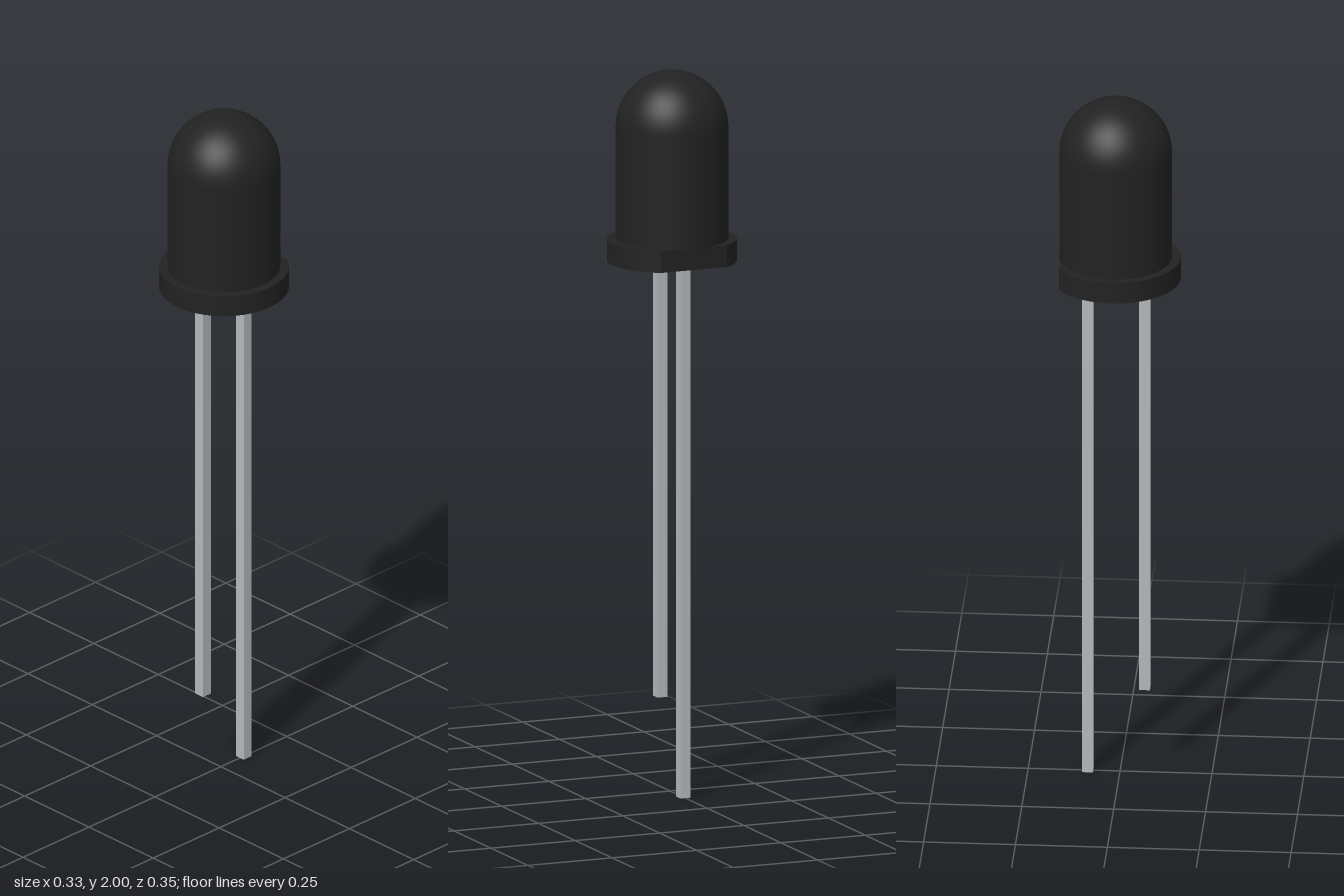
import * as THREE from 'three';
import { toCreasedNormals } from 'three/addons/utils/BufferGeometryUtils.js';

export function createModel() {
  const model = new THREE.Group();
  model.name = 'lightDiode';

  const lensBlack = new THREE.MeshStandardMaterial({ color: 0x222222 });
  lensBlack.name = 'lensBlack';
  const leadMetal = new THREE.MeshStandardMaterial({ color: 0xb4b8bc });
  leadMetal.name = 'leadMetal';

  const axisX = 0.012;      // centre line of the round body
  const lensRadius = 0.153;
  const rimRadius = 0.177;
  const rimBottom = 1.475;
  const rimTop = 1.536;
  const flatOffset = 0.147; // distance of the flat side from the centre line

  function add(name, geometry, material, x, y) {
    const mesh = new THREE.Mesh(geometry, material);
    mesh.name = name;
    mesh.position.set(x, y, 0);
    model.add(mesh);
  }

  // Lens: straight cylinder wall running into a half-sphere dome
  const domeY = 2 - lensRadius;
  const profile = [new THREE.Vector2(lensRadius, rimTop - 0.01)];
  const steps = 20;
  for (let i = 0; i <= steps; i++) {
    const a = (i / steps) * Math.PI / 2;
    profile.push(new THREE.Vector2(i === steps ? 0 : lensRadius * Math.cos(a), domeY + lensRadius * Math.sin(a)));
  }
  add('lens', new THREE.LatheGeometry(profile, 64), lensBlack, axisX, 0);

  // Rim: disc with one flat side
  const cut = Math.acos(flatOffset / rimRadius);
  const outline = new THREE.Shape();
  outline.absarc(0, 0, rimRadius, cut, Math.PI * 2 - cut, false);
  outline.closePath();
  const rim = new THREE.ExtrudeGeometry(outline, { depth: rimTop - rimBottom, bevelEnabled: false, curveSegments: 64 });
  rim.rotateX(-Math.PI / 2);
  add('rim', toCreasedNormals(rim, 0.4), lensBlack, axisX, rimBottom);

  // Leads: square wires, one shorter than the other
  const leads = [['shortLead', -1, 0.25], ['longLead', 1, 0]];
  for (const [name, side, bottom] of leads) {
    const length = rimBottom - bottom;
    add(name, new THREE.BoxGeometry(0.03, length, 0.03), leadMetal, axisX - 0.002 + side * 0.0775, bottom + length / 2);
  }

  return model;
}
